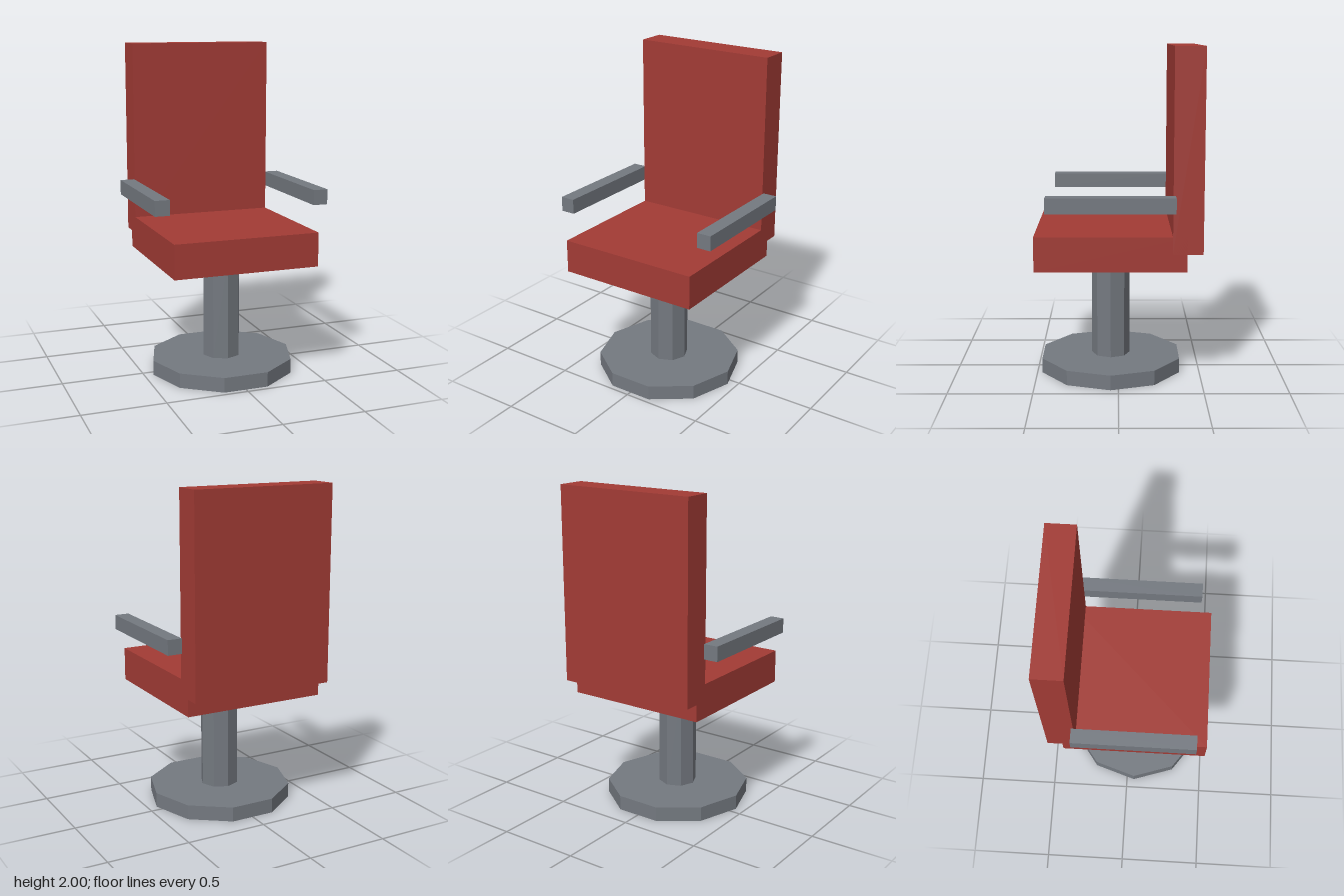
import * as THREE from 'three';

const material = (name, color) => {
  const m = new THREE.MeshStandardMaterial({ color, flatShading: true });
  m.name = name;
  return m;
};

export function createModel() {
  const red = material('red upholstery', 0xa23b35);
  const grey = material('grey metal', 0x747980);
  const group = new THREE.Group();
  group.name = 'swivelChair';

  const add = (name, geometry, mat, x, y, z) => {
    const mesh = new THREE.Mesh(geometry, mat);
    mesh.name = name;
    mesh.position.set(x, y, z);
    group.add(mesh);
  };
  // Box given by its min and max along each axis
  const box = (name, mat, [x0, x1], [y0, y1], [z0, z1]) =>
    add(name, new THREE.BoxGeometry(x1 - x0, y1 - y0, z1 - z0), mat,
      (x0 + x1) / 2, (y0 + y1) / 2, (z0 + z1) / 2);

  const halfWidth = 0.444;
  const stemZ = 0.047;

  // Ten-sided foot with corners on the x axis, and eight-sided column
  add('base', new THREE.CylinderGeometry(0.444, 0.444, 0.09, 10, 1, false, Math.PI / 2), grey, 0, 0.045, stemZ);
  add('column', new THREE.CylinderGeometry(0.118, 0.118, 0.63, 8), grey, 0, 0.403, stemZ);

  // Cushions
  box('seat', red, [-halfWidth, halfWidth], [0.715, 0.92], [-0.397, 0.489]);
  box('backrest', red, [-halfWidth, halfWidth], [0.818, 2], [-0.489, -0.313]);

  // Armrests, butted against the sides of the backrest
  box('leftArmrest', grey, [halfWidth, 0.532], [1.07, 1.16], [-0.326, 0.416]);
  box('rightArmrest', grey, [-0.532, -halfWidth], [1.07, 1.16], [-0.326, 0.416]);

  return group;
}
